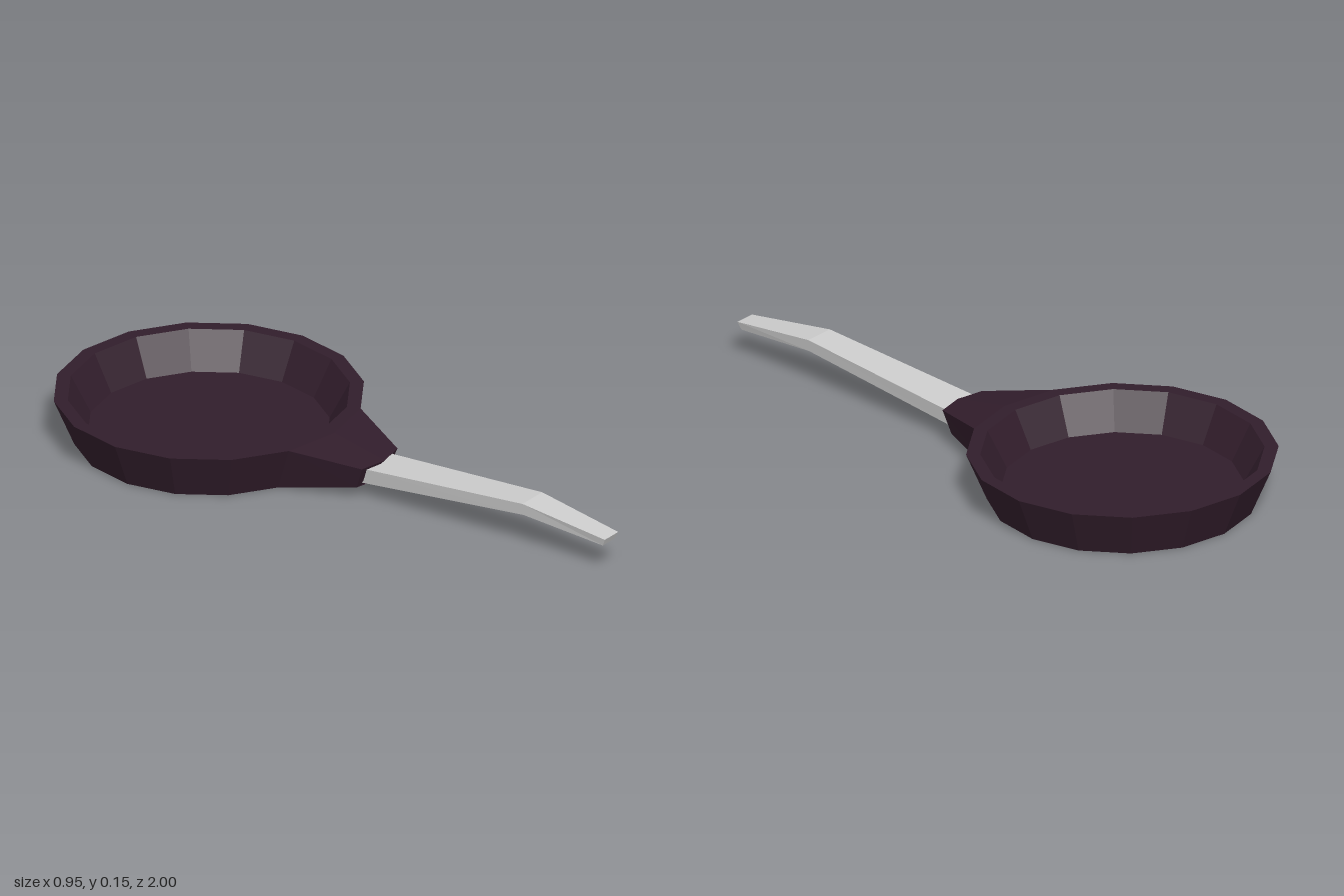
import * as THREE from 'three';

const SIDES = 16, CENTRE_Z = -0.525;
const STEP = (Math.PI * 2) / SIDES;

// Faceted solid through closed sections, each counter-clockwise seen from +z, ordered back to front
function loft(sections) {
  const pos = [];
  const tri = (...pts) => pts.forEach((p) => pos.push(...p));
  const n = sections[0].length;
  for (let s = 0; s < sections.length - 1; s++) {
    const a = sections[s], b = sections[s + 1];
    for (let i = 0; i < n; i++) {
      const j = (i + 1) % n;
      tri(a[i], a[j], b[j]);
      tri(a[i], b[j], b[i]);
    }
  }
  const first = sections[0], last = sections[sections.length - 1];
  for (let i = 1; i < n - 1; i++) {
    tri(first[0], first[i + 1], first[i]);
    tri(last[0], last[i], last[i + 1]);
  }
  const geo = new THREE.BufferGeometry();
  geo.setAttribute('position', new THREE.Float32BufferAttribute(pos, 3));
  geo.computeVertexNormals();
  return geo;
}

export function createModel() {
  const group = new THREE.Group();
  const dark = new THREE.MeshStandardMaterial({ color: 0x311d2b, flatShading: true });
  const grey = new THREE.MeshStandardMaterial({ color: 0xcccccc, flatShading: true });
  const add = (name, geo, mat) => {
    const mesh = new THREE.Mesh(geo, mat);
    mesh.name = name;
    group.add(mesh);
    return mesh;
  };

  // Pan: flared wall, flat rim and recessed floor
  const profile = [[0, 0], [0.412, 0], [0.475, 0.15], [0.432, 0.15], [0.37, 0.035], [0, 0.035]]
    .map(([r, y]) => new THREE.Vector2(r, y));
  add('pan', new THREE.LatheGeometry(profile, SIDES), dark).position.z = CENTRE_Z;

  // Neck: grows from the two front facets of the pan and narrows to the handle
  const wall = (r, y, k) => [r * Math.sin(k * STEP), y, CENTRE_Z + r * Math.cos(k * STEP)];
  const neckRoot = [
    ...[-1, 0, 1].map((k) => wall(0.412, 0, k)),
    ...[1, 0, -1].map((k) => wall(0.475, 0.15, k)),
  ];
  const neckEnd = [
    [-0.08, 0.04, 0.095], [0, 0.04, 0.112], [0.08, 0.04, 0.095],
    [0.09, 0.113, 0.122], [0, 0.113, 0.14], [-0.09, 0.113, 0.122],
  ];
  add('neck', loft([neckRoot, neckEnd]), dark);

  // Handle: tapered bar that rises, then bends down at the grip end
  const bar = ([topHalf, topY, topZ, lowHalf, lowY, lowZ]) => [
    [-lowHalf, lowY, lowZ], [lowHalf, lowY, lowZ],
    [topHalf, topY, topZ], [-topHalf, topY, topZ],
  ];
  add('handle', loft([
    [0.068, 0.1, 0.08, 0.061, 0.047, 0.07],
    [0.05, 0.152, 0.7, 0.045, 0.113, 0.7],
    [0.034, 0.113, 1, 0.028, 0.088, 0.988],
  ].map(bar)), grey);

  return group;
}
